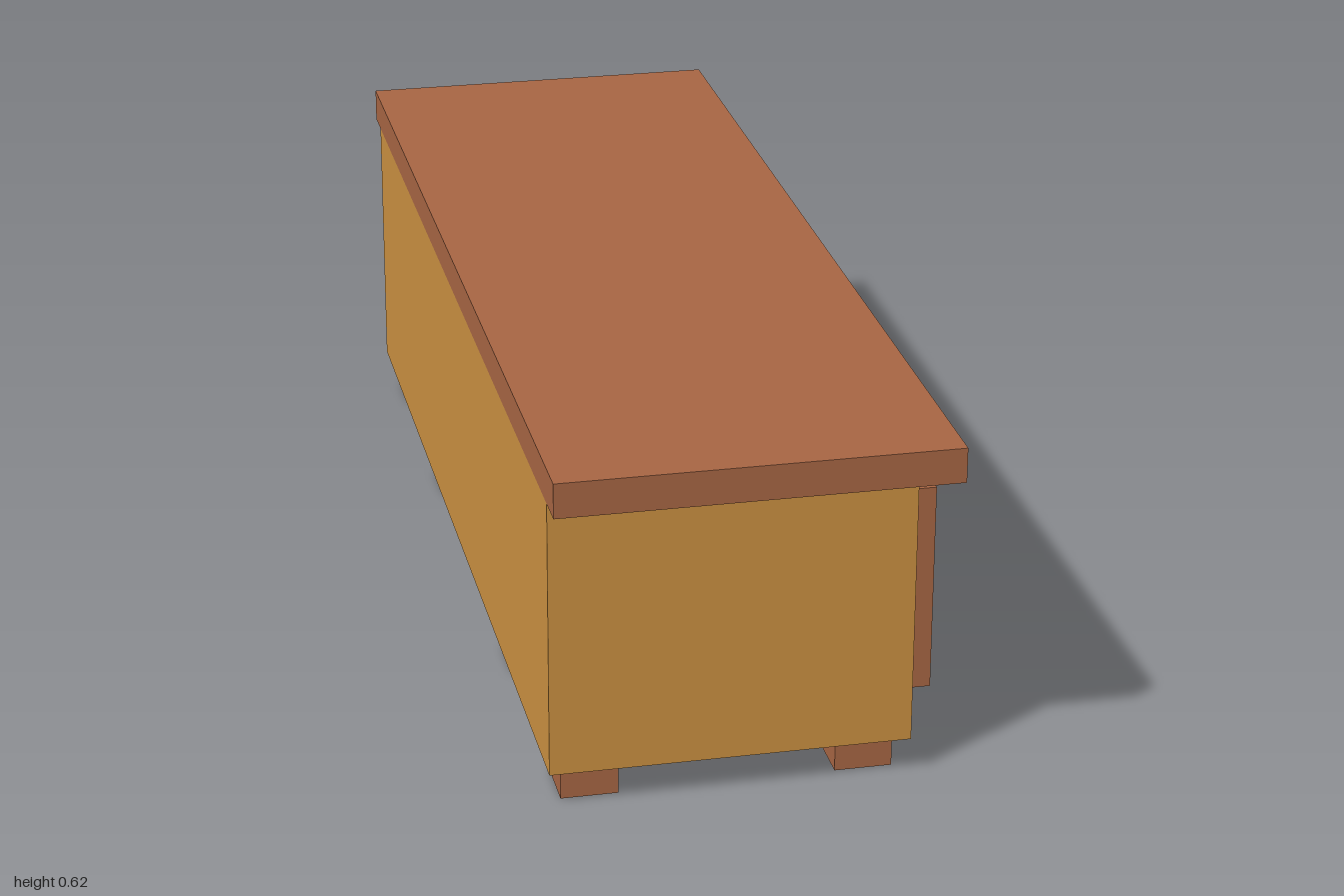
import * as THREE from 'three';

const redWood = new THREE.MeshStandardMaterial({ color: 0xa66543 });
const paleWood = new THREE.MeshStandardMaterial({ color: 0xc98f40 });

// Box given by its minimum and maximum corners
function block(name, min, max, material) {
  const size = max.map((v, i) => v - min[i]);
  const mesh = new THREE.Mesh(new THREE.BoxGeometry(...size), material);
  mesh.position.set(...max.map((v, i) => (v + min[i]) / 2));
  mesh.name = name;
  return mesh;
}

// Rectangle outline, added to a shape or a hole
function rectangle(path, x, y0, y1) {
  path.moveTo(-x, y0);
  path.lineTo(x, y0);
  path.lineTo(x, y1);
  path.lineTo(-x, y1);
  path.closePath();
  return path;
}

export function createModel() {
  const group = new THREE.Group();
  group.name = 'lowCabinet';

  // Overhanging top board
  group.add(block('top', [-0.344, 0.563, -1], [0.344, 0.625, 1], redWood));

  // Carcass with the open niche cut through it, closed by a back panel
  const outline = rectangle(new THREE.Shape(), 0.94, 0.063, 0.563);
  outline.holes.push(rectangle(new THREE.Path(), 0.3, 0.125, 0.5));
  const carcassGeometry = new THREE.ExtrudeGeometry(outline, { depth: 0.563, bevelEnabled: false });
  carcassGeometry.rotateY(Math.PI / 2);
  const carcass = new THREE.Mesh(carcassGeometry, paleWood);
  carcass.position.x = -0.282;
  carcass.name = 'carcass';
  group.add(carcass);
  group.add(block('backPanel', [-0.344, 0.063, -0.94], [-0.282, 0.563, 0.94], paleWood));

  // Darker panel under the middle bay
  group.add(block('undersidePanel', [-0.343, 0.061, -0.31], [0.28, 0.064, 0.31], redWood));

  for (const side of [-1, 1]) {
    // Doors either side of the niche
    const door = block('door', [0.281, 0.126, -0.25], [0.331, 0.5, 0.25], redWood);
    door.position.z = side * 0.625;
    group.add(door);

    // Two rows of four short feet
    for (const z of [0.39, 0.86]) {
      for (const x of [-0.27, 0.206]) {
        const foot = block('foot', [-0.05, 0, -0.05], [0.05, 0.063, 0.05], redWood);
        foot.position.x = x;
        foot.position.z = side * z;
        group.add(foot);
      }
    }
  }
  return group;
}
